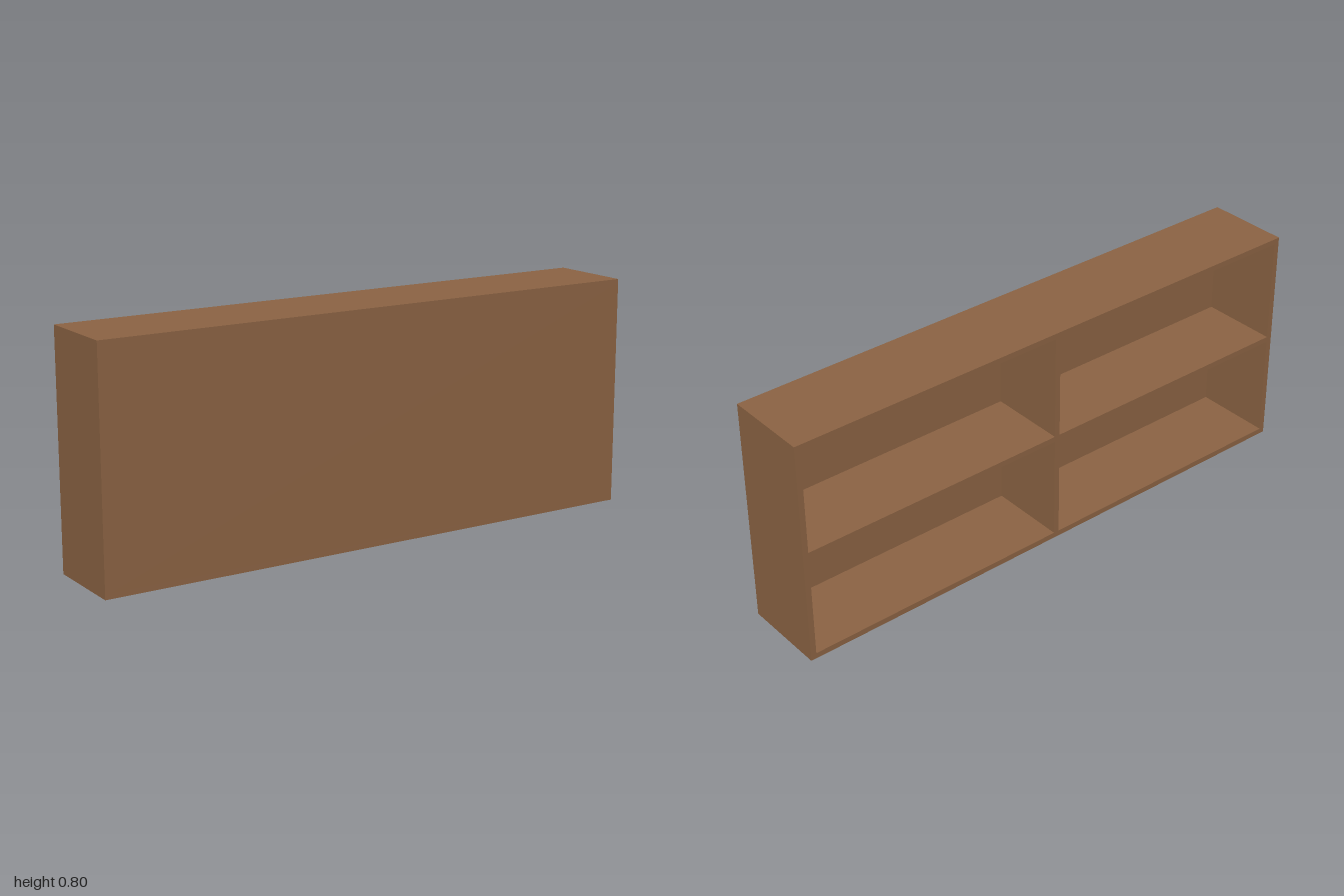
import * as THREE from 'three';

const W = 2, H = 0.8, D = 0.3, T = 0.02; // overall size and board thickness

export function createModel() {
  const group = new THREE.Group();
  const wood = new THREE.MeshStandardMaterial({ color: 0x8b6343 });

  function board(name, w, h, d, x, y, z) {
    const mesh = new THREE.Mesh(new THREE.BoxGeometry(w, h, d), wood);
    mesh.name = name;
    mesh.position.set(x, y, z);
    group.add(mesh);
  }

  const innerW = W - 2 * T, innerH = H - 2 * T, innerD = D - T;
  const innerZ = -T / 2; // compartments open toward -z

  // Outer frame
  board('topBoard', W, T, D, 0, H - T / 2, 0);
  board('bottomBoard', W, T, D, 0, T / 2, 0);
  for (const [side, s] of [['left', 1], ['right', -1]]) {
    board(side + 'Side', T, innerH, D, s * (W - T) / 2, H / 2, 0);
  }

  // Closed panel on the +z face
  board('panel', innerW, innerH, T, 0, H / 2, (D - T) / 2);

  // Upright divider with a shelf on each side
  board('divider', T, innerH, innerD, 0, H / 2, innerZ);
  const shelfW = (innerW - T) / 2;
  for (const [side, s] of [['left', 1], ['right', -1]]) {
    board(side + 'Shelf', shelfW, T, innerD, s * (T + shelfW) / 2, H / 2, innerZ);
  }

  return group;
}
